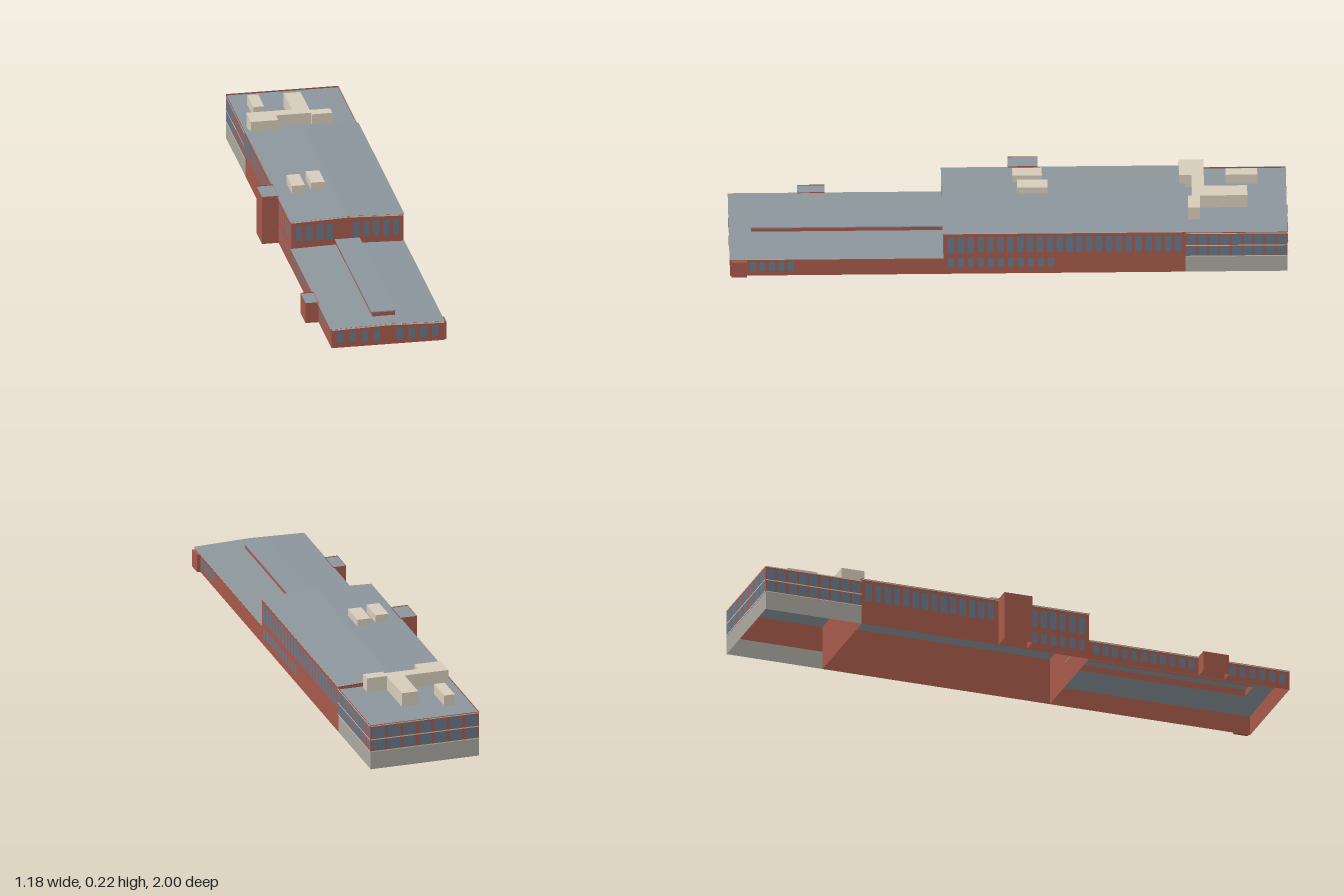
import * as THREE from 'three';
import { mergeGeometries } from 'three/addons/utils/BufferGeometryUtils.js';

const COLORS = { brick: 0xa5594a, roof: 0x8b959b, glass: 0x66788a, stone: 0xaaa79e, cream: 0xd6cbb9 };
const mats = {};
for (const key in COLORS) mats[key] = new THREE.MeshStandardMaterial({ color: COLORS[key], side: THREE.DoubleSide });

// Flat convex polygon, corners counter-clockwise seen from outside
function poly(...pts) {
  const pos = [];
  for (let i = 1; i < pts.length - 1; i++) pos.push(...pts[0], ...pts[i], ...pts[i + 1]);
  const g = new THREE.BufferGeometry();
  g.setAttribute('position', new THREE.Float32BufferAttribute(pos, 3));
  g.computeVertexNormals();
  return g;
}

// Upright panel from plan point p to q (x, z), pushed outward by off
function panel(p, q, y0, y1, off = 0) {
  const len = Math.hypot(q[0] - p[0], q[1] - p[1]);
  const nx = -(q[1] - p[1]) / len * off, nz = (q[0] - p[0]) / len * off;
  const [ax, az, bx, bz] = [p[0] + nx, p[1] + nz, q[0] + nx, q[1] + nz];
  return poly([ax, y0, az], [bx, y0, bz], [bx, y1, bz], [ax, y1, az]);
}

// Evenly spaced panes along a wall; fill is the glazed share of each bay
function panes(p, q, n, fill, y0, y1) {
  const at = t => [p[0] + (q[0] - p[0]) * t, p[1] + (q[1] - p[1]) * t];
  return Array.from({ length: n }, (_, i) =>
    panel(at((i + 0.5 - fill / 2) / n), at((i + 0.5 + fill / 2) / n), y0, y1, 0.002));
}

function box(x0, x1, y0, y1, z0, z1) {
  return new THREE.BoxGeometry(x1 - x0, y1 - y0, z1 - z0)
    .translate((x0 + x1) / 2, (y0 + y1) / 2, (z0 + z1) / 2);
}

// Gable end wall at depth z
const gable = (w, z, eave, ridge) =>
  poly([-w, 0, z], [w, 0, z], [w, eave, z], [0, ridge, z], [-w, eave, z]);

export function createModel() {
  const model = new THREE.Group();
  model.name = 'longBuilding';
  const building = new THREE.Group();
  building.name = 'building';
  building.rotation.y = THREE.MathUtils.degToRad(-23.6);
  model.add(building);

  const add = (name, color, ...geos) => {
    const mesh = new THREE.Mesh(geos.length > 1 ? mergeGeometries(geos) : geos[0], mats[color]);
    mesh.name = name;
    building.add(mesh);
  };

  const W = 0.204;                                       // half width
  const FRONT = 0.995, STEP = 0.232, END = -0.634, BACK = -0.999;
  const LOW = 0.072, LOW_RIDGE = 0.078, HIGH = 0.176, HIGH_RIDGE = 0.184;
  const over = 0.004;                                    // roof overhang

  // Low front wing, open underneath
  add('lowWingWalls', 'brick',
    gable(W, FRONT, LOW, LOW_RIDGE),
    panel([W, FRONT], [W, STEP], 0, LOW),
    panel([-W, STEP], [-W, FRONT], 0, LOW));

  // Low roof, cut out below the raised strip
  const M = 0.041, MZ = 0.917;
  const lowY = x => LOW_RIDGE - (LOW_RIDGE - LOW) * Math.abs(x) / W + 0.001;
  const slope = (x0, x1, z0, z1, h) =>
    poly([x0, h(x0), z0], [x1, h(x1), z0], [x1, h(x1), z1], [x0, h(x0), z1]);
  const e = W + over;
  add('lowRoof', 'roof',
    slope(-e, -M, FRONT + 0.002, STEP, lowY), slope(M, e, FRONT + 0.002, STEP, lowY),
    slope(-M, 0, FRONT + 0.002, MZ, lowY), slope(0, M, FRONT + 0.002, MZ, lowY));
  add('raisedStripWalls', 'brick',
    panel([-M, MZ], [M, MZ], 0.07, 0.094),
    panel([M, MZ], [M, STEP], 0.07, 0.094),
    panel([-M, STEP], [-M, MZ], 0.07, 0.094));
  add('raisedStripRoof', 'roof', box(-M - over, M + over, 0.094, 0.098, STEP, MZ + over));

  // Tall main hall, open underneath
  add('mainWalls', 'brick',
    gable(W, STEP, HIGH, HIGH_RIDGE), gable(W, END, HIGH, HIGH_RIDGE),
    panel([W, STEP], [W, END], 0, HIGH),
    panel([-W, END], [-W, STEP], 0, HIGH));
  const highY = x => HIGH_RIDGE - (HIGH_RIDGE - HIGH) * Math.abs(x) / W + 0.001;
  add('mainRoof', 'roof',
    slope(-e, 0, STEP + 0.003, END - 0.002, highY), slope(0, e, STEP + 0.003, END - 0.002, highY));

  // Pale edging below the roofs
  const trim = [];
  for (const [z, zEnd, eave, ridge] of [[FRONT, STEP, LOW, LOW_RIDGE], [STEP, END, HIGH, HIGH_RIDGE]]) {
    for (const s of [-1, 1]) {
      trim.push(poly([0, ridge - 0.005, z + 0.002], [s * W, eave - 0.005, z + 0.002],
        [s * W, eave, z + 0.002], [0, ridge, z + 0.002]));
      const x = s * (W + 0.002);
      trim.push(panel([x, z], [x, zEnd], eave - 0.003, eave));
    }
  }
  add('roofEdging', 'cream', ...trim);

  // Rear block: stone base, glazed upper storeys, roof behind a parapet
  const corners = [[W, END], [W, BACK], [-W, BACK], [-W, END]];
  const base = [], upper = [], glass = [], bands = [];
  [9, 7, 9].forEach((n, i) => {
    const p = corners[i], q = corners[i + 1];
    base.push(panel(p, q, 0, 0.068));
    upper.push(panel(p, q, 0.068, 0.17));
    glass.push(...panes(p, q, n, 0.8, 0.072, 0.111), ...panes(p, q, n, 0.8, 0.119, 0.16));
    for (const y of [0.067, 0.113, 0.165]) bands.push(panel(p, q, y, y + 0.004, 0.003));
  });
  add('rearBase', 'stone', ...base);
  add('rearUpperWalls', 'brick', ...upper);
  add('rearBands', 'cream', ...bands);
  add('rearRoof', 'roof', slope(-W, W, END, BACK, () => 0.165));

  // Windows of the hall and the low wing
  glass.push(
    ...panes([-0.195, STEP], [-0.045, STEP], 4, 0.62, 0.1, 0.16),
    ...panes([0.015, STEP], [0.195, STEP], 5, 0.62, 0.1, 0.16),
    ...panes([W, 0.222], [W, -0.625], 24, 0.68, 0.092, 0.16),
    ...panes([W, 0.222], [W, -0.17], 11, 0.62, 0.03, 0.07),
    ...panes([-W, -0.625], [-W, -0.125], 14, 0.68, 0.092, 0.16),
    ...panes([-W, 0.005], [-W, 0.222], 6, 0.68, 0.092, 0.16),
    ...panes([-W, 0.005], [-W, 0.222], 6, 0.62, 0.03, 0.07),
    ...panes([-0.195, FRONT], [-0.018, FRONT], 4, 0.55, 0.018, 0.06),
    ...panes([0.022, FRONT], [0.195, FRONT], 4, 0.55, 0.018, 0.06),
    ...panes([W, 0.93], [W, 0.76], 5, 0.62, 0.02, 0.06),
    ...panes([-W, 0.24], [-W, 0.64], 11, 0.62, 0.02, 0.06),
    ...panes([-W, 0.76], [-W, 0.985], 6, 0.62, 0.02, 0.06));
  add('windows', 'glass', ...glass);

  // Entrance towers on the right-hand side, open underneath
  for (const [name, x, z0, z1, h] of [
    ['tallStairTower', -0.265, -0.112, -0.005, 0.182], ['lowPorch', -0.251, 0.65, 0.748, 0.077]]) {
    add(name + 'Walls', 'brick',
      panel([-W, z0], [x, z0], 0, h), panel([x, z0], [x, z1], 0, h),
      panel([x, z1], [-W, z1], 0, h), panel([-W, z1], [-W, z0], LOW - 0.01, h));
    add(name + 'Roof', 'roof', slope(x, -W, z1, z0, () => h - 0.003));
  }

  // Small porch at the front corner
  add('cornerPorch', 'brick', box(W, 0.216, 0, 0.066, 0.935, 0.99));

  // Rooftop plant
  add('roofUnits', 'cream',
    box(-0.153, -0.105, 0.179, 0.21, -0.125, -0.02),
    box(-0.08, -0.03, 0.181, 0.21, -0.145, -0.036),
    box(-0.147, -0.107, 0.165, 0.204, -0.896, -0.782));
  const outline = [[-0.187, 0.616], [-0.088, 0.616], [-0.088, 0.66], [0.04, 0.66], [0.04, 0.645], [0.115, 0.645],
    [0.115, 0.688], [0.04, 0.688], [0.04, 0.858], [-0.022, 0.858], [-0.022, 0.704], [-0.187, 0.704]];
  const duct = new THREE.ExtrudeGeometry(new THREE.Shape(outline.map(p => new THREE.Vector2(...p))),
    { depth: 0.052, bevelEnabled: false });
  add('roofDuctHousing', 'cream', duct.rotateX(-Math.PI / 2).translate(0, 0.165, 0));

  return model;
}
